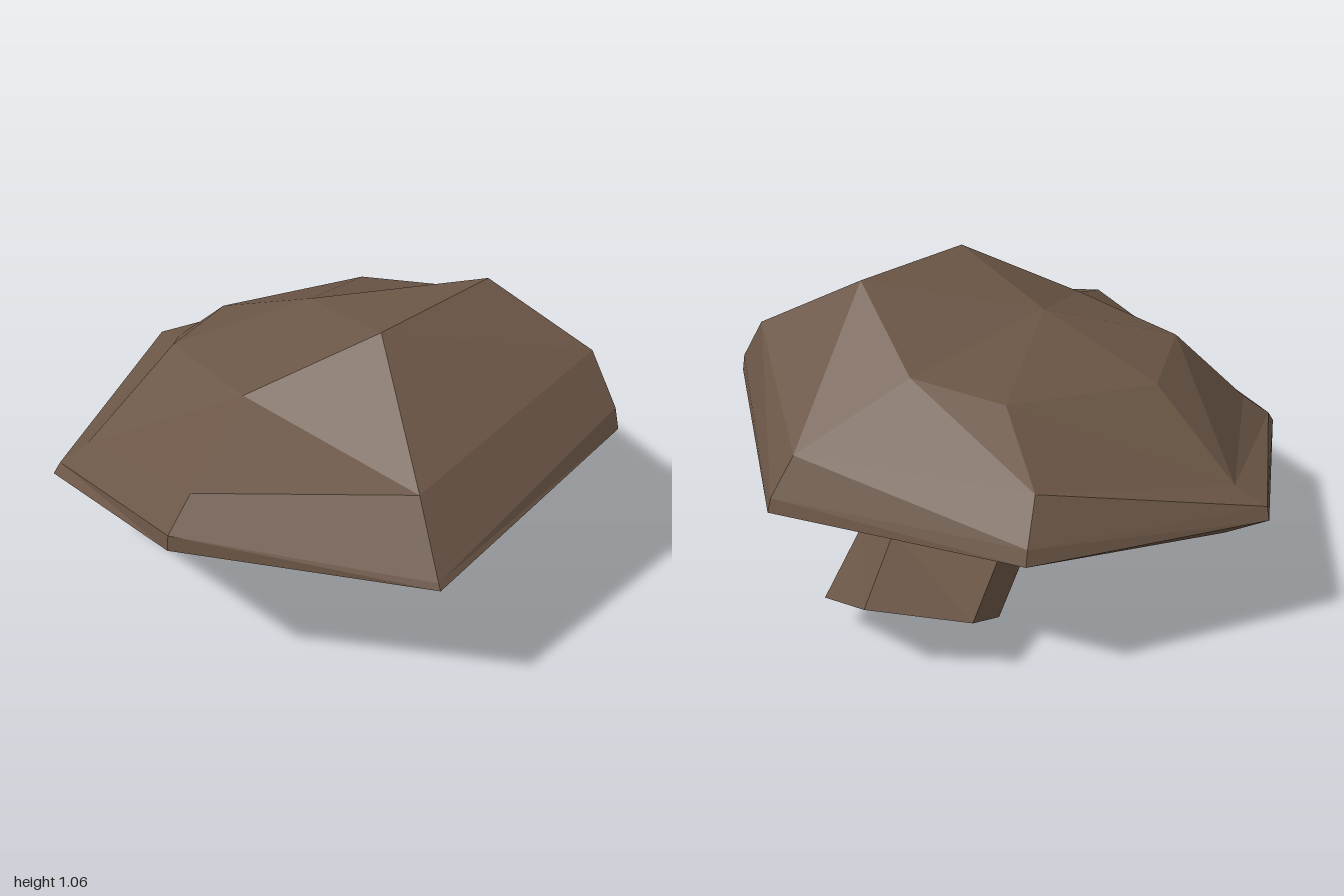
import * as THREE from 'three';

// Skin a stack of rings (top to bottom, each counter-clockwise from above).
// A ring of one point closes the stack like a cone tip.
// flips[k] lists the quads of band k that fold along the other diagonal.
function loft(rings, flips = {}, extra = []) {
  const pos = [];
  const tri = (a, b, c) => pos.push(...a, ...b, ...c);
  for (let k = 0; k < rings.length - 1; k++) {
    const u = rings[k], l = rings[k + 1];
    const n = Math.max(u.length, l.length);
    for (let i = 0; i < n; i++) {
      const j = (i + 1) % n;
      if (u.length === 1) tri(u[0], l[i], l[j]);
      else if (l.length === 1) tri(u[i], l[0], u[j]);
      else if (flips[k]?.includes(i)) {
        tri(u[i], l[i], u[j]);
        tri(l[i], l[j], u[j]);
      } else {
        tri(u[i], l[i], l[j]);
        tri(u[i], l[j], u[j]);
      }
    }
  }
  extra.forEach(t => tri(...t));
  const g = new THREE.BufferGeometry();
  g.setAttribute('position', new THREE.Float32BufferAttribute(pos, 3));
  g.computeVertexNormals();
  return g;
}

export function createModel() {
  const group = new THREE.Group();
  group.name = 'mushroom';
  const brown = new THREE.MeshStandardMaterial({ color: 0x6b5646 });
  brown.name = 'brown';
  brown.flatShading = true;
  brown.side = THREE.DoubleSide;

  const add = (name, geometry) => {
    const mesh = new THREE.Mesh(geometry, brown);
    mesh.name = name;
    group.add(mesh);
  };

  // Cap: seven-sided lopsided dome with a bevelled rim and hollow underside
  const crown = [[-0.19, 0.82, 0.45], [0.23, 1.04, 0.27], [0.46, 1.06, -0.22], [0.2, 0.86, -0.53],
    [-0.13, 0.82, -0.58], [-0.57, 0.78, -0.23], [-0.59, 0.8, 0.16]];
  const shoulder = [[-0.2, 0.68, 0.85], [0.49, 0.71, 0.66], [0.85, 0.86, -0.19], [0.54, 0.64, -0.73],
    [-0.28, 0.66, -0.84], [-0.86, 0.52, -0.4], [-0.84, 0.47, 0.4]];
  const rimTop = [[-0.22, 0.6, 0.98], [0.6, 0.5, 0.8], [0.96, 0.69, -0.12], [0.61, 0.5, -0.78],
    [-0.28, 0.53, -0.95], [-0.97, 0.49, -0.46], [-0.94, 0.39, 0.44]];
  const rim = [[-0.22, 0.55, 0.99], [0.61, 0.48, 0.81], [0.98, 0.62, -0.1], [0.62, 0.45, -0.79],
    [-0.28, 0.48, -0.97], [-0.98, 0.45, -0.48], [-0.96, 0.35, 0.46]];
  const rimUnder = [[-0.2, 0.5, 0.86], [0.53, 0.46, 0.7], [0.85, 0.57, -0.1], [0.53, 0.43, -0.68],
    [-0.25, 0.43, -0.83], [-0.84, 0.32, -0.37], [-0.83, 0.275, 0.41]];
  const hollow = crown.map(([x, y, z]) => [x, y - 0.35, z]);
  add('cap', loft([[[-0.15, 0.95, -0.07]], crown, shoulder, rimTop, rim, rimUnder, hollow,
    [[-0.15, 0.6, -0.07]]], { 1: [5, 6], 5: [0, 1, 2, 3, 4, 5, 6] }));

  // Stem: five-sided, leaning, with a bent foot that points backwards
  const bend = [[0.23, 0.04, -0.14], [0.44, 0.19, -0.42], [0.23, 0.36, -0.67],
    [-0.13, 0.32, -0.57], [-0.14, 0.1, -0.25]];
  const foot = [[0.23, 0, -0.53], [0.45, 0.13, -0.77], [0.23, 0.27, -1],
    [-0.1, 0.215, -0.92], [-0.12, 0.05, -0.64]];
  const reach = [1.3, 1.1, 0.6, 0.6, 1.1];
  const top = bend.map(([x, y, z], i) =>
    [x - 0.13 * reach[i], y + 0.48 * reach[i], z + 0.41 * reach[i]]);
  const sole = [[2, 1], [1, 0], [0, 4]].map(([a, b]) => [foot[3], foot[a], foot[b]]);
  add('stem', loft([top, bend, foot], {}, sole));

  return group;
}
